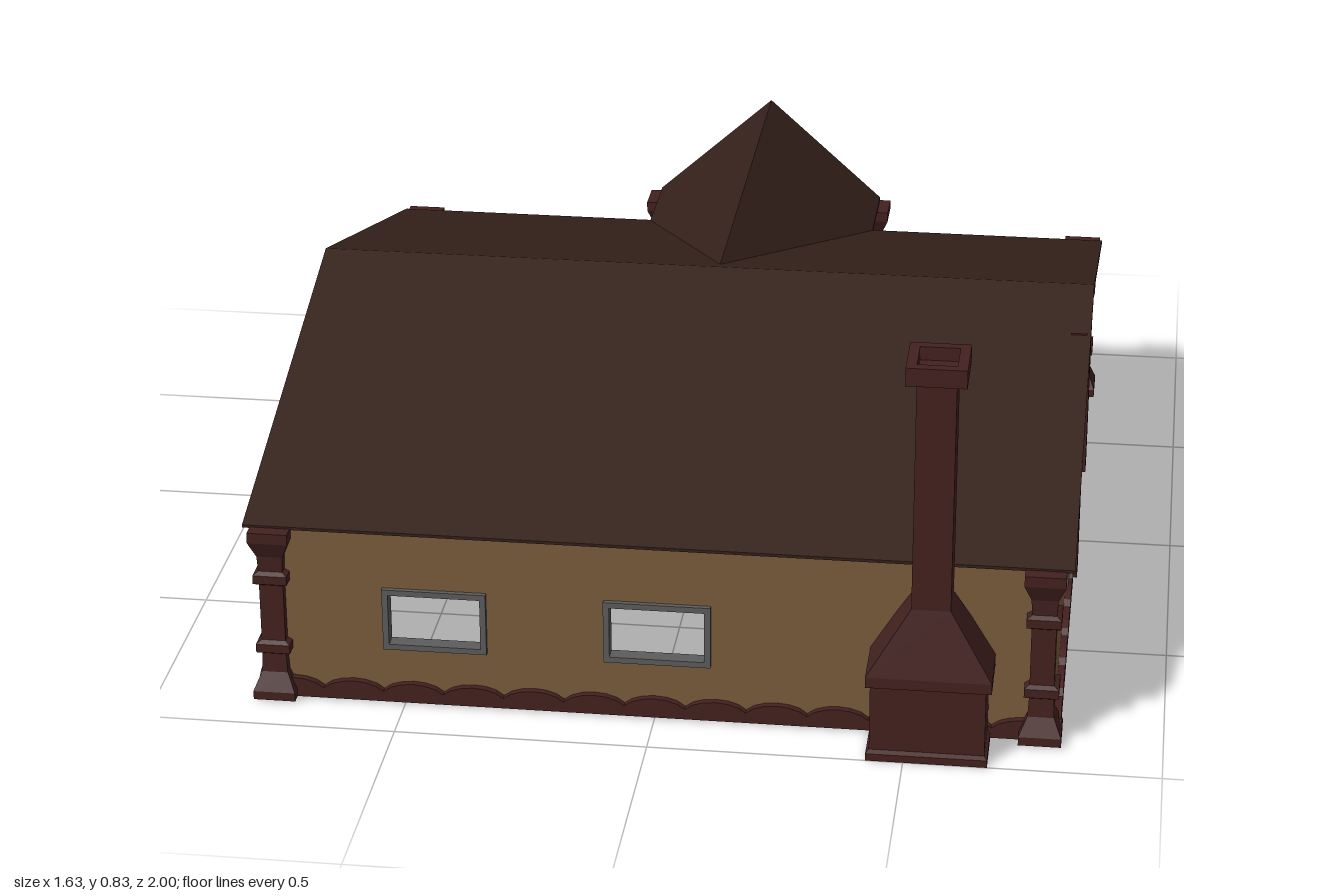
import * as THREE from 'three';

const mat = (color) => new THREE.MeshStandardMaterial({ color, flatShading: true, side: THREE.DoubleSide });
const WALL = mat(0x7a5c3d), ROOF = mat(0x35211a), TIMBER = mat(0x43211f), FRAME = mat(0x5c5c5c), DARK = mat(0x1c1a1a);

function add(parent, name, geometry, material) {
  const mesh = new THREE.Mesh(geometry, material);
  mesh.name = name;
  parent.add(mesh);
  return mesh;
}

function box(parent, name, material, x0, x1, y0, y1, z0, z1) {
  const mesh = add(parent, name, new THREE.BoxGeometry(x1 - x0, y1 - y0, z1 - z0), material);
  mesh.position.set((x0 + x1) / 2, (y0 + y1) / 2, (z0 + z1) / 2);
  return mesh;
}

const polygon = (points) => new THREE.Shape(points.map(([x, y]) => new THREE.Vector2(x, y)));
const extrude = (shape, depth) =>
  new THREE.ExtrudeGeometry(shape, { depth, bevelEnabled: false, curveSegments: 6 });

// Stacked rectangles [x0, x1, z0, z1, y], joined by four sides and closed at both ends
function loft(sections) {
  const positions = [], index = [];
  sections.forEach(([x0, x1, z0, z1, y], i) => {
    positions.push(x0, y, z1, x1, y, z1, x1, y, z0, x0, y, z0);
    if (!i) return;
    for (let k = 0; k < 4; k++) {
      const a = (i - 1) * 4 + k, b = (i - 1) * 4 + ((k + 1) % 4);
      index.push(a, b, b + 4, a, b + 4, a + 4);
    }
  });
  const t = (sections.length - 1) * 4;
  index.push(0, 2, 1, 0, 3, 2, t, t + 1, t + 2, t, t + 2, t + 3);
  const indexed = new THREE.BufferGeometry();
  indexed.setAttribute('position', new THREE.Float32BufferAttribute(positions, 3));
  indexed.setIndex(index);
  const geometry = indexed.toNonIndexed();
  geometry.computeVertexNormals();
  return geometry;
}

// Wall height and the window frame; windows are [u0, u1, y0, y1, hasMullion]
const H = 0.375, T = 0.015;

function addWindow(wall, [u0, u1, y0, y1, mullion]) {
  const w = 0.012;
  const outer = polygon([[u0 - w / 2, y0 - w / 2], [u1 + w / 2, y0 - w / 2], [u1 + w / 2, y1 + w / 2], [u0 - w / 2, y1 + w / 2]]);
  outer.holes.push(polygon([[u0 + w / 2, y0 + w / 2], [u0 + w / 2, y1 - w / 2], [u1 - w / 2, y1 - w / 2], [u1 - w / 2, y0 + w / 2]]));
  add(wall, 'windowFrame', extrude(outer, T + 0.016), FRAME).position.z = -T - 0.006;
  if (mullion) {
    const m = (u0 + u1) / 2;
    box(wall, 'windowMullion', DARK, m - 0.006, m + 0.006, y0, y1, -T, 0.004);
  }
}

// Foundation strip with a row of rounded bumps along its top
function addPlinth(wall, u0, u1) {
  const n = Math.max(1, Math.round((u1 - u0) / 0.125)), step = (u1 - u0) / n;
  const shape = new THREE.Shape();
  shape.moveTo(u0, 0.004);
  shape.lineTo(u1, 0.004);
  shape.lineTo(u1, 0.026);
  for (let i = n; i > 0; i--) {
    const r = u0 + i * step, l = r - step;
    shape.bezierCurveTo(r - step * 0.2, 0.052, l + step * 0.2, 0.052, l, 0.026);
  }
  add(wall, 'scallopedPlinth', extrude(shape, 0.03), TIMBER).position.z = -0.016;
}

// Wall from a to b (points in x, z), outside on local +z
function addWall(house, { name, a, b, windows = [], door, beams = [] }) {
  const dx = b[0] - a[0], dz = b[1] - a[1], length = Math.hypot(dx, dz);
  const wall = new THREE.Group();
  wall.name = name;
  wall.position.set(a[0], 0, a[1]);
  wall.rotation.y = Math.atan2(-dz, dx);
  house.add(wall);

  const outline = [[0, 0.005]];
  if (door) outline.push([door[0], 0.005], [door[0], door[2]], [door[1], door[2]], [door[1], 0.005]);
  outline.push([length, 0.005], [length, H], [0, H]);
  const shape = polygon(outline);
  for (const [u0, u1, y0, y1] of windows) shape.holes.push(polygon([[u0, y0], [u0, y1], [u1, y1], [u1, y0]]));
  add(wall, 'wallPanel', extrude(shape, T), WALL).position.z = -T;
  windows.forEach((w) => addWindow(wall, w));
  addPlinth(wall, door ? door[1] : 0, length);
  for (const [u, top] of beams) box(wall, 'wallBeam', TIMBER, u - 0.028, u + 0.028, 0.02, top, -0.01, 0.022);
  return wall;
}

// Turned corner post: half width at each height
const POST = [
  [0.042, 0.004], [0.042, 0.022], [0.026, 0.06], [0.024, 0.1], [0.034, 0.106], [0.034, 0.124], [0.024, 0.13],
  [0.024, 0.252], [0.034, 0.258], [0.034, 0.276], [0.024, 0.282], [0.026, 0.315], [0.04, 0.35], [0.04, 0.372],
];

// Pitched roof: cross-section in (across, up), with a thin covering over a solid gable
function addPitchedRoof(parent, name, { left, right, ridge, top, eave, length, inset, endInset }) {
  const roof = new THREE.Group();
  roof.name = name;
  const t = 0.014;
  const cover = polygon([[left, eave - 0.006], [left, eave], [ridge, top], [right, eave], [right, eave - 0.006], [ridge, top - t]]);
  const gable = polygon([[left + 0.01, eave - 0.006], [right - 0.01, eave - 0.006], [ridge, top - t + 0.002]]);
  add(roof, 'roofCovering', extrude(cover, length), ROOF);
  add(roof, 'gable', extrude(gable, length - inset - endInset), ROOF).position.z = inset;
  parent.add(roof);
  return roof;
}

export function createModel() {
  const house = new THREE.Group();
  house.name = 'house';

  // Walls, going round the footprint with the porch at the back
  const X = 0.785, F = 0.875, B = -0.785, P = -0.965, PL = 0.27, PR = -0.22;
  const walls = [
    { name: 'frontWall', a: [-X, F], b: [X, F], windows: [[0.25, 0.445, 0.125, 0.245], [0.69, 0.89, 0.125, 0.245]] },
    { name: 'leftWall', a: [X, F], b: [X, B], beams: [[0.69, 0.58], [1.205, 0.5]],
      windows: [[0.425, 0.615, 0.13, 0.25, true], [0.84, 1.09, 0.13, 0.25, true]] },
    { name: 'backWallLeft', a: [X, B], b: [PL, B], windows: [[0.13, 0.37, 0.09, 0.265, true]] },
    { name: 'porchLeftWall', a: [PL, B], b: [PL, P] },
    { name: 'porchBackWall', a: [PL, P], b: [PR, P], door: [0.05, 0.24, 0.3], windows: [[0.29, 0.43, 0.1, 0.25]] },
    { name: 'porchRightWall', a: [PR, P], b: [PR, B] },
    { name: 'backWallRight', a: [PR, B], b: [-X, B], windows: [[0.18, 0.44, 0.09, 0.265, true]] },
    { name: 'rightWall', a: [-X, B], b: [-X, F], beams: [[0.83, 0.57]], windows: [[0.25, 0.55, 0.13, 0.285, true]] },
  ];
  const built = walls.map((w) => addWall(house, w));

  // Small closed shutter on the right wall
  box(built[7], 'shutterFrame', FRAME, 1.22, 1.39, 0.25, 0.35, 0, 0.018);
  box(built[7], 'shutterPanel', DARK, 1.232, 1.378, 0.262, 0.338, 0.01, 0.022);

  // Corner posts
  for (const [x, z] of [[-0.76, 0.87], [0.76, 0.87], [-0.77, -0.785], [0.77, -0.785], [PL, -0.957], [PR, -0.957]]) {
    const post = add(house, 'cornerPost', loft(POST.map(([r, y]) => [-r, r, -r, r, y])), TIMBER);
    post.position.set(x, 0, z);
  }

  // Main roof with its ridge along x
  const main = addPitchedRoof(house, 'mainRoof',
    { left: -0.797, right: 0.882, ridge: 0.055, top: 0.624, eave: 0.376, length: 1.63, inset: 0.03, endInset: 0.03 });
  main.rotation.y = -Math.PI / 2;
  main.position.x = 0.815;

  // Porch roof, running into the main roof
  const porch = addPitchedRoof(house, 'porchRoof',
    { left: -0.235, right: 0.285, ridge: 0.025, top: 0.611, eave: 0.378, length: 1.005, inset: 0.03, endInset: 0.05 });
  porch.position.z = -1;

  // Chimney: hearth block, sloped shoulder, shaft and hollow cap
  const chimney = new THREE.Group();
  chimney.name = 'chimney';
  house.add(chimney);
  add(chimney, 'chimneyBase', loft([
    [0.427, 0.663, 0.86, 1.0, 0], [0.427, 0.663, 0.86, 1.0, 0.015], [0.433, 0.657, 0.86, 0.99, 0.02], [0.433, 0.657, 0.86, 0.99, 0.16],
  ]), TIMBER);
  add(chimney, 'chimneyShoulder', loft([
    [0.424, 0.668, 0.86, 1.0, 0.16], [0.424, 0.668, 0.86, 1.0, 0.182], [0.508, 0.584, 0.885, 0.972, 0.32],
  ]), TIMBER);
  add(chimney, 'chimneyShaft', loft([[0.508, 0.584, 0.888, 0.972, 0.31], [0.508, 0.584, 0.888, 0.972, 0.8]]), TIMBER);
  add(chimney, 'chimneyCap', loft([
    [0.488, 0.604, 0.868, 0.99, 0.795], [0.488, 0.604, 0.868, 0.99, 0.832],
    [0.508, 0.584, 0.888, 0.97, 0.832], [0.508, 0.584, 0.888, 0.97, 0.805],
  ]), TIMBER);

  return house;
}
